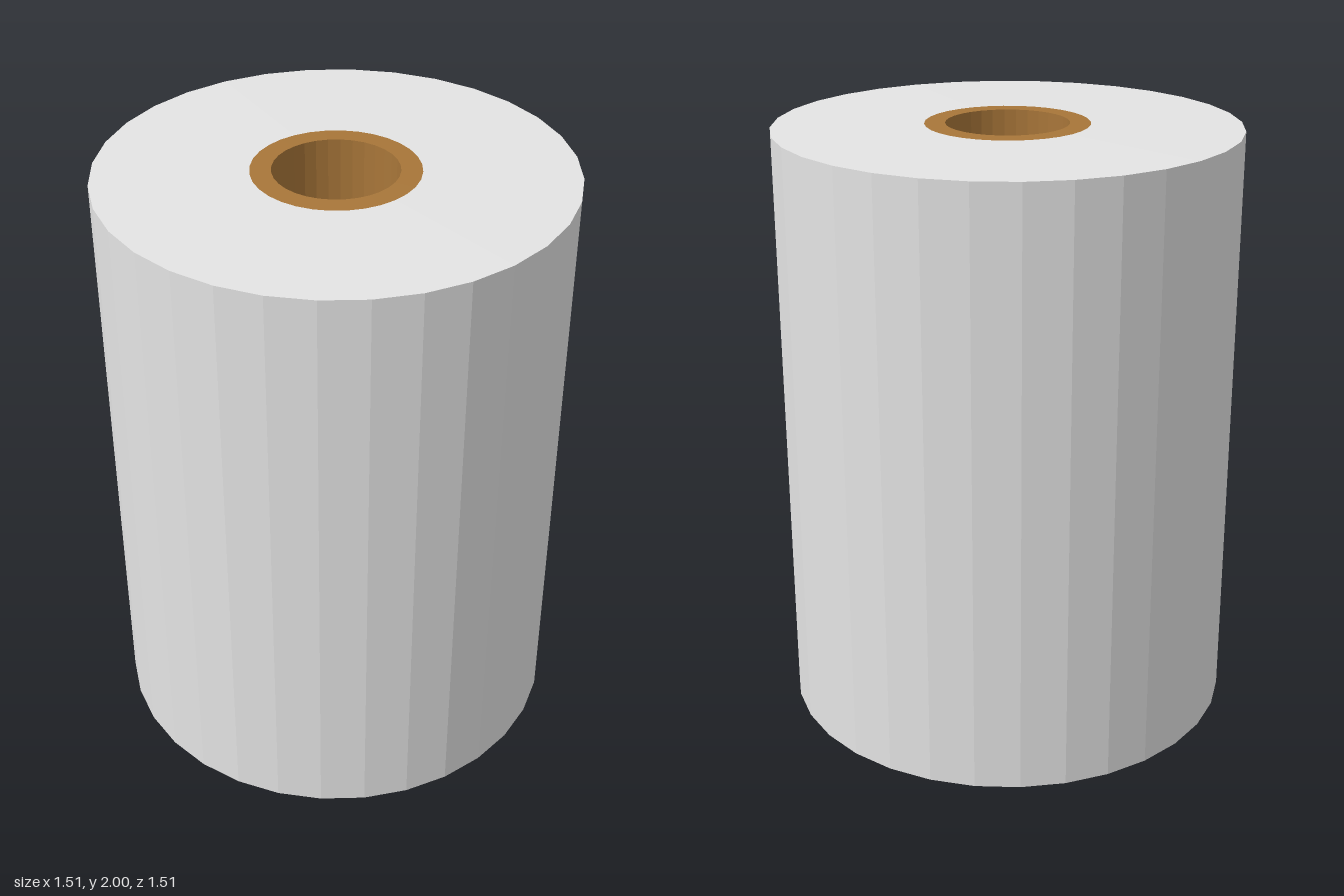
import * as THREE from 'three';

const SIDES = 32;
const OUTER = 0.757, CORE = 0.267, BORE = 0.2;

// Closed ring turned from a cross-section given as [radius, height] pairs
function turned(name, profile, material) {
  const points = profile.map(([r, y]) => new THREE.Vector2(r, y));
  const geometry = new THREE.LatheGeometry(points, SIDES).toNonIndexed();
  geometry.computeVertexNormals(); // crisp facets
  const mesh = new THREE.Mesh(geometry, material);
  mesh.name = name;
  return mesh;
}

export function createModel() {
  const paper = new THREE.MeshStandardMaterial({ color: 0xe4e4e4 });
  paper.name = 'paper white';
  const cardboard = new THREE.MeshStandardMaterial({ color: 0xa87639 });
  cardboard.name = 'cardboard brown';

  const group = new THREE.Group();
  group.name = 'paperRoll';

  // Wound paper: flat base, straight wall, top rising very slightly to the core
  group.add(turned('paperWinding',
    [[CORE, 0], [OUTER, 0], [OUTER, 1.992], [CORE, 1.999]], paper));

  // Cardboard tube: end rims and open bore
  group.add(turned('cardboardCore',
    [[BORE, 2], [BORE, 0], [CORE, 0]], cardboard));
  group.add(turned('cardboardRim', [[CORE, 1.999], [BORE, 2]], cardboard));

  return group;
}
